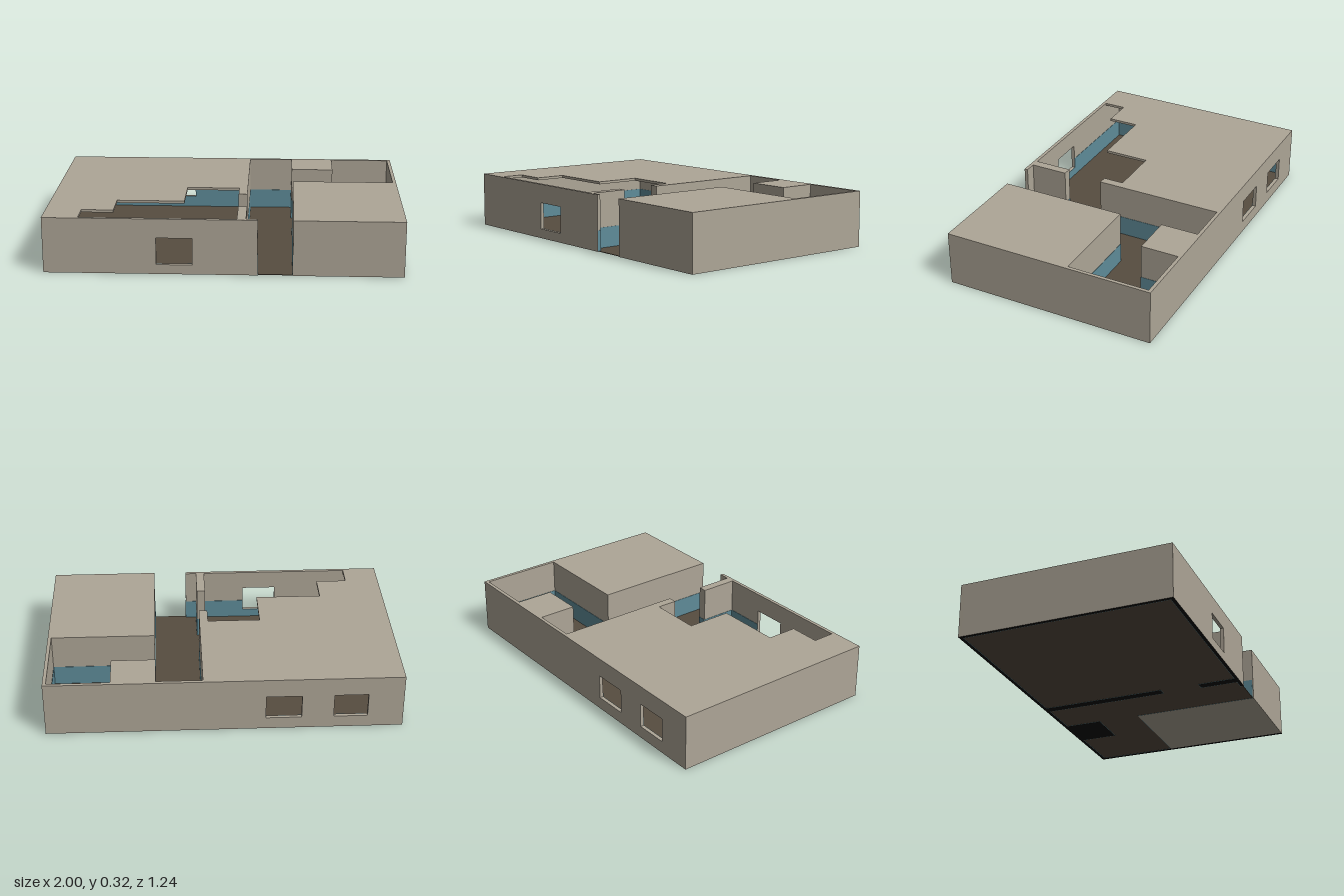
import * as THREE from 'three';

const H = 0.32, T = 0.02, DADO = 0.12, SKIN = 0.002;

export function createModel() {
  const model = new THREE.Group();
  const mat = (name, color) => {
    const m = new THREE.MeshStandardMaterial({ color });
    m.name = name;
    return m;
  };
  const plaster = mat('plaster', 0xaea697);
  const dadoBlue = mat('dadoBlue', 0x5f8c99);
  const floorBrown = mat('floorBrown', 0x574d40);
  const footBlack = mat('footBlack', 0x050505);
  // Walls show a black footing underneath
  const wallMats = [plaster, plaster, plaster, footBlack, plaster, plaster];

  // Box given by its limits on each axis
  function box(name, material, x0, x1, y0, y1, z0, z1) {
    const mesh = new THREE.Mesh(new THREE.BoxGeometry(x1 - x0, y1 - y0, z1 - z0), material);
    mesh.position.set((x0 + x1) / 2, (y0 + y1) / 2, (z0 + z1) / 2);
    mesh.name = name;
    model.add(mesh);
  }

  // Split a run a..b into rectangles around its windows [from, to, sill, head]
  function pieces(a, b, windows, top) {
    const out = [];
    let at = a;
    for (const [w0, w1, sill, head] of windows) {
      out.push([at, w0, 0, top], [w0, w1, 0, Math.min(sill, top)]);
      if (head < top) out.push([w0, w1, head, top]);
      at = w1;
    }
    out.push([at, b, 0, top]);
    return out;
  }

  // Wall running along x, or dado panel when given the blue material
  function runX(name, a, b, z0, z1, windows = [], top = H, material = null) {
    for (const [p, q, y0, y1] of pieces(a, b, windows, top))
      box(name, material || (y0 === 0 ? wallMats : plaster), p, q, y0, y1, z0, z1);
  }
  const dadoX = (a, b, z, side, windows = []) =>
    runX('dado', a, b, Math.min(z, z + side * SKIN), Math.max(z, z + side * SKIN), windows, DADO, dadoBlue);
  const dadoZ = (x, side, a, b) =>
    box('dado', dadoBlue, Math.min(x, x + side * SKIN), Math.max(x, x + side * SKIN), 0, DADO, a, b);

  const frontWindows = [[-0.37, -0.17, 0.055, 0.21]];
  const backWindows = [[-0.8, -0.61, 0.07, 0.21], [-0.43, -0.23, 0.07, 0.21]];

  // Outer walls, with the entrance left open at the front
  runX('frontWall', -1, 0.19, 0.62 - T, 0.62, frontWindows);
  runX('backWall', -1, 1, -0.62, -0.62 + T, backWindows);
  box('rightWall', wallMats, -1, -1 + T, 0, H, -0.6, 0.6);
  box('leftWall', wallMats, 1 - T, 1, 0, H, -0.6, 0.62);

  // Partition with a doorway
  box('partitionBack', wallMats, 0.07, 0.12, 0, H, -0.6, 0.145);
  box('partitionFront', wallMats, 0.075, 0.125, 0, H, 0.38, 0.6);

  // Solid volumes on the left side
  box('solidBlock', plaster, 0.385, 1 - T, 0, H, -0.125, 0.62);
  box('smallBlock', wallMats, 0.38, 0.63, 0, H, -0.6, -0.38);

  // Floors
  box('mainFloor', floorBrown, -0.98, 0.385, 0.001, 0.004, -0.6, 0.6);
  box('sideFloor', floorBrown, 0.385, 0.98, 0.001, 0.004, -0.6, -0.125);
  box('threshold', floorBrown, 0.19, 0.385, 0.001, 0.004, 0.6, 0.615);

  // Blue dado panels around the rooms
  dadoX(-0.98, 0.07, -0.6, 1, backWindows);
  dadoX(0.12, 0.38, -0.6, 1);
  dadoX(0.63, 0.98, -0.6, 1);
  dadoX(-0.98, 0.075, 0.6, -1, frontWindows);
  dadoX(0.125, 0.19, 0.6, -1);
  dadoX(0.38, 0.63, -0.38, 1);
  dadoX(0.385, 0.98, -0.125, -1);
  dadoX(0.07, 0.12, 0.145, 1);
  dadoX(0.075, 0.125, 0.38, -1);
  dadoZ(-0.98, 1, -0.6, 0.6);
  dadoZ(0.98, -1, -0.6, -0.125);
  dadoZ(0.07, -1, -0.6, 0.145);
  dadoZ(0.12, 1, -0.6, 0.145);
  dadoZ(0.075, -1, 0.38, 0.6);
  dadoZ(0.125, 1, 0.38, 0.6);
  dadoZ(0.385, -1, -0.125, 0.615);
  dadoZ(0.38, -1, -0.6, -0.38);
  dadoZ(0.63, 1, -0.6, -0.38);
  dadoZ(0.19, 1, 0.6, 0.618);

  // Thin ceiling with a stepped opening over the right-hand room
  const outline = [
    [-0.98, -0.6], [0.07, -0.6], [0.07, 0.025], [-0.235, 0.025], [-0.235, 0.29],
    [-0.62, 0.29], [-0.62, 0.47], [-0.8, 0.47], [-0.8, 0.6], [-0.98, 0.6],
  ].map(([x, z]) => new THREE.Vector2(x, z));
  const ceiling = new THREE.Mesh(
    new THREE.ExtrudeGeometry(new THREE.Shape(outline), { depth: 0.015, bevelEnabled: false }).rotateX(Math.PI / 2),
    plaster
  );
  ceiling.position.y = H;
  ceiling.name = 'ceiling';
  model.add(ceiling);

  return model;
}
